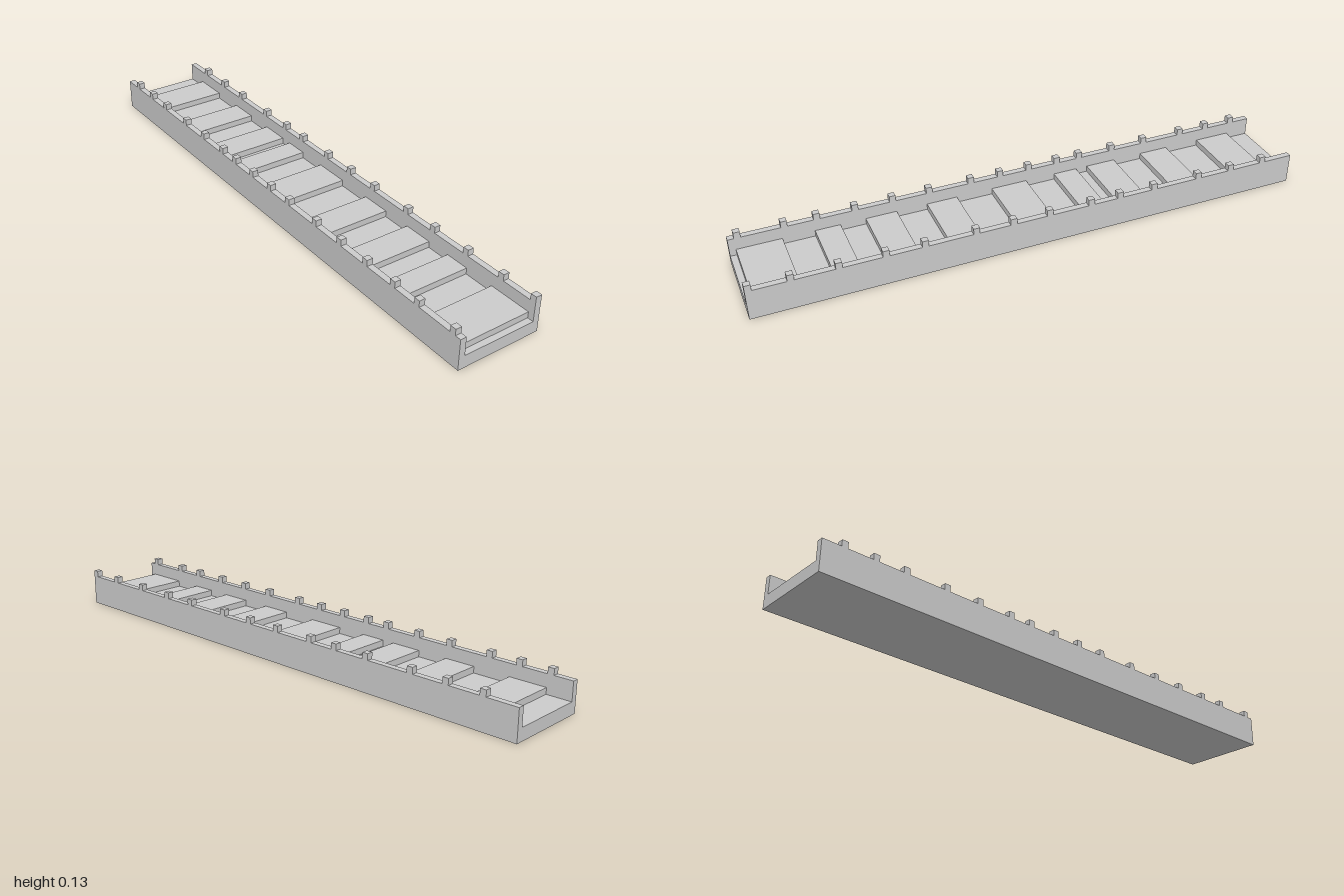
import * as THREE from 'three';

// One block unit: the bridge is 14 wide, 6 high and 90 long
const U = 2 / 90;
const material = new THREE.MeshStandardMaterial({ color: 0xcccccc, flatShading: true });

// Box from block ranges: x about the centre, y from the ground, z counted back from the front end
function block(parent, name, [x0, x1], [y0, y1], [z0, z1]) {
  const geometry = new THREE.BoxGeometry((x1 - x0) * U, (y1 - y0) * U, (z1 - z0) * U);
  const mesh = new THREE.Mesh(geometry, material);
  mesh.name = name;
  mesh.position.set((x0 + x1) / 2 * U, (y0 + y1) / 2 * U, 1 - (z0 + z1) / 2 * U);
  parent.add(mesh);
}

export function createModel() {
  const model = new THREE.Group();
  model.name = 'walledBridge';

  // Flat deck between the walls
  block(model, 'deck', [-6, 6], [0, 2], [0, 90]);

  // Raised paving slabs, as start and end along the deck
  const slabs = [[1, 8], [13, 17], [21, 26], [31, 36], [42, 48], [53, 57], [59, 64], [69, 74], [80, 86]];
  for (const range of slabs) block(model, 'raisedSlab', [-6, 6], [2, 3], range);

  // Side walls, each topped with unevenly spaced battlements
  const walls = [
    { name: 'left', x: [6, 7], merlons: [0, 6, 13, 20, 26, 34, 40, 46, 53, 58, 64, 72, 78, 84] },
    { name: 'right', x: [-7, -6], merlons: [1, 8, 13, 19, 25, 31, 38, 43, 48, 53, 57, 63, 69, 76, 81, 86] },
  ];
  for (const { name, x, merlons } of walls) {
    const side = new THREE.Group();
    side.name = name + 'Parapet';
    block(side, name + 'Wall', x, [0, 5], [0, 90]);
    for (const z of merlons) block(side, name + 'Merlon', x, [5, 6], [z, z + 1]);
    model.add(side);
  }
  return model;
}
